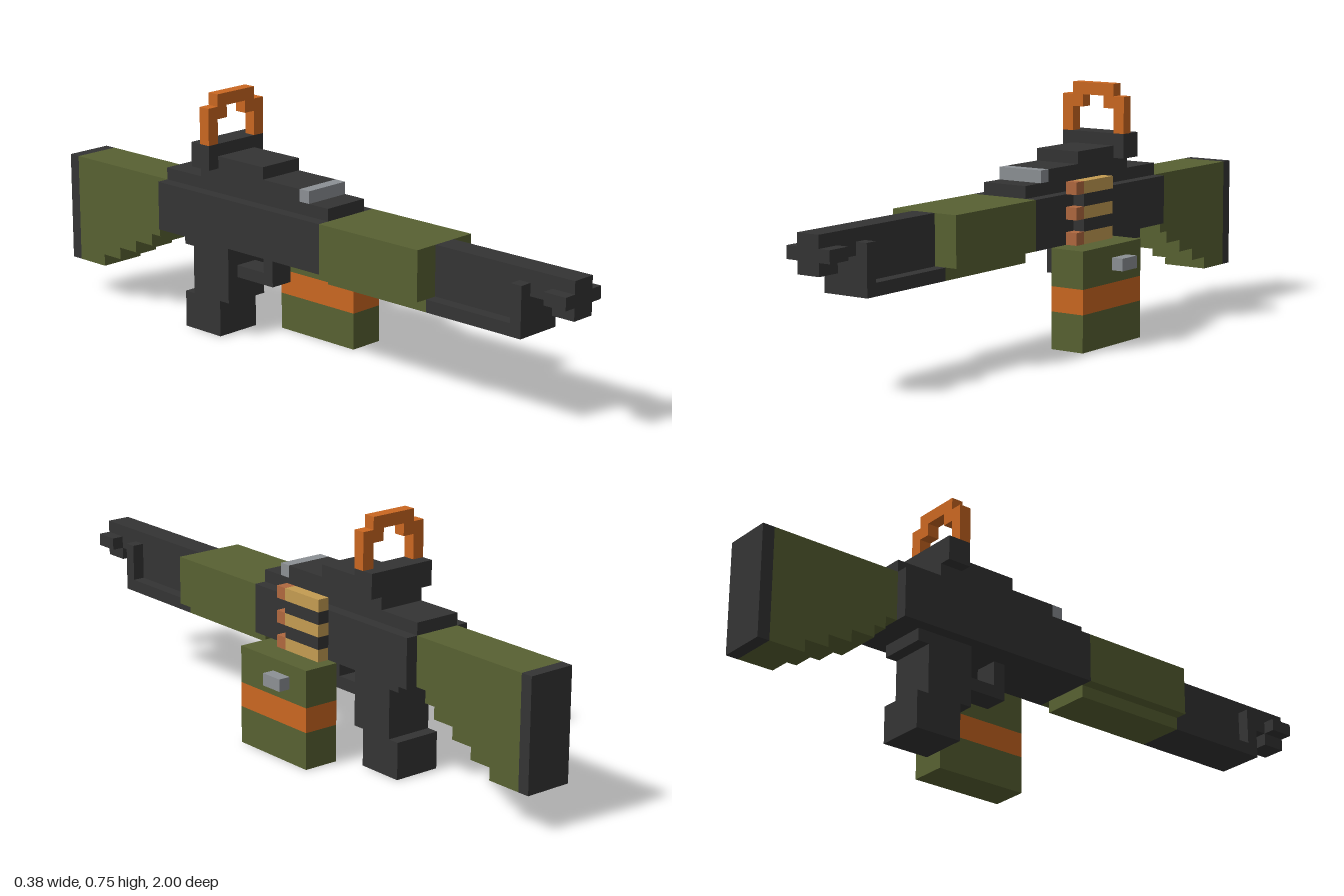
import * as THREE from 'three';

// One block; the model is 53 blocks long. Depth is counted back from the muzzle.
const U = 2 / 53;

const paint = (name, color) => {
  const m = new THREE.MeshStandardMaterial({ color });
  m.name = name;
  return m;
};

export function createModel() {
  const model = new THREE.Group();
  const dark = paint('gunmetal', 0x343434);
  const green = paint('olive green', 0x586132);
  const orange = paint('orange', 0xca6721);
  const grey = paint('steel grey', 0x8c9094);
  const copper = paint('copper', 0xb0683f);
  const brass = paint('brass', 0xc49c52);

  // Box from block limits: x range, y range, depth range
  const box = (name, mat, x0, x1, y0, y1, d0, d1, parent = model) => {
    const mesh = new THREE.Mesh(
      new THREE.BoxGeometry((x1 - x0) * U, (y1 - y0) * U, (d1 - d0) * U), mat);
    mesh.position.set((x0 + x1) / 2 * U, (y0 + y1) / 2 * U, 1 - (d0 + d1) / 2 * U);
    mesh.name = name;
    parent.add(mesh);
  };
  const group = (name) => {
    const g = new THREE.Group();
    g.name = name;
    model.add(g);
    return g;
  };

  // Barrel with a cross-shaped muzzle, front post and lower rail
  const barrel = group('barrel');
  box('muzzleCore', dark, -3, -1, 9, 12, 0, 2, barrel);
  for (const x of [-4, -1]) box('muzzleLug', dark, x, x + 1, 10, 11, 0, 2, barrel);
  box('barrelTip', dark, -3, -1, 10, 12, 2, 4, barrel);
  box('barrelTube', dark, -3, -1, 8, 12, 4, 13, barrel);
  for (const x of [-4, -1]) box('frontPost', dark, x, x + 1, 8, 11, 4, 5, barrel);
  box('lowerRail', dark, -4, 0, 7, 8, 4, 13, barrel);

  // Foregrip
  const foregrip = group('foregrip');
  box('foregripUpper', green, -5, 1, 8, 12, 13, 23, foregrip);
  box('foregripLower', green, -4, 0, 7, 8, 13, 23, foregrip);

  // Receiver and its stepped cover
  const receiver = group('receiver');
  box('receiverBody', dark, -5, 1, 8, 12, 23, 41, receiver);
  box('receiverTop', dark, -4, 0, 12, 13, 23, 41, receiver);
  box('coverLatch', grey, -4, 0, 13, 14, 25, 26, receiver);
  box('coverLower', dark, -4, 0, 13, 14, 26, 37, receiver);
  box('coverUpper', dark, -4, 0, 14, 15, 30, 35, receiver);
  box('handleBase', dark, -5, 1, 14, 16, 35, 37, receiver);

  // Carry handle
  const handle = group('carryHandle');
  for (const side of [-1, 1]) {
    const post = -2 + side * 2.5, corner = -2 + side * 1.5;
    box('handlePost', orange, post - 0.5, post + 0.5, 16, 19, 35, 36, handle);
    box('handleCorner', orange, corner - 0.5, corner + 0.5, 18, 19, 35, 36, handle);
  }
  box('handleTop', orange, -4, 0, 19, 20, 35, 36, handle);

  // Stock, with an underside stepping down towards the butt
  const stock = group('stock');
  const steps = [41, 42, 43, 45, 47, 49, 52];
  for (let i = 0; i < 6; i++) box('stockStep', green, -4, 0, 8 - i, 12, steps[i], steps[i + 1], stock);
  box('buttPlate', dark, -4, 0, 3, 12, 52, 53, stock);

  // Grip and trigger guard
  const grip = group('grip');
  box('gripMount', dark, -4, 0, 7, 8, 34, 39, grip);
  box('gripUpper', dark, -4, 0, 3, 7, 34, 38, grip);
  box('gripLower', dark, -4, 0, 0, 3, 35, 39, grip);
  box('triggerGuardBar', dark, -3, -1, 5, 6, 30, 34, grip);
  box('triggerGuardPost', dark, -3, -1, 6, 8, 30, 31, grip);

  // Side box with a coloured band and a latch
  const magazine = group('magazine');
  box('magazineLower', green, 1, 4, 0, 3, 25, 33, magazine);
  box('magazineBand', orange, 1, 4, 3, 5, 25, 33, magazine);
  box('magazineUpper', green, 1, 4, 5, 8, 25, 33, magazine);
  box('magazineLatch', grey, 4, 5, 6, 7, 29, 31, magazine);

  // Feed belt: three rounds with links between them
  const belt = group('feedBelt');
  for (const y of [8, 10, 12]) {
    box('roundTip', copper, 1, 2, y, y + 1, 27, 28, belt);
    box('roundCase', brass, 1, 2, y, y + 1, 28, 32, belt);
    if (y < 12) box('beltLink', dark, 1, 2, y + 1, y + 2, 28, 32, belt);
  }

  return model;
}
